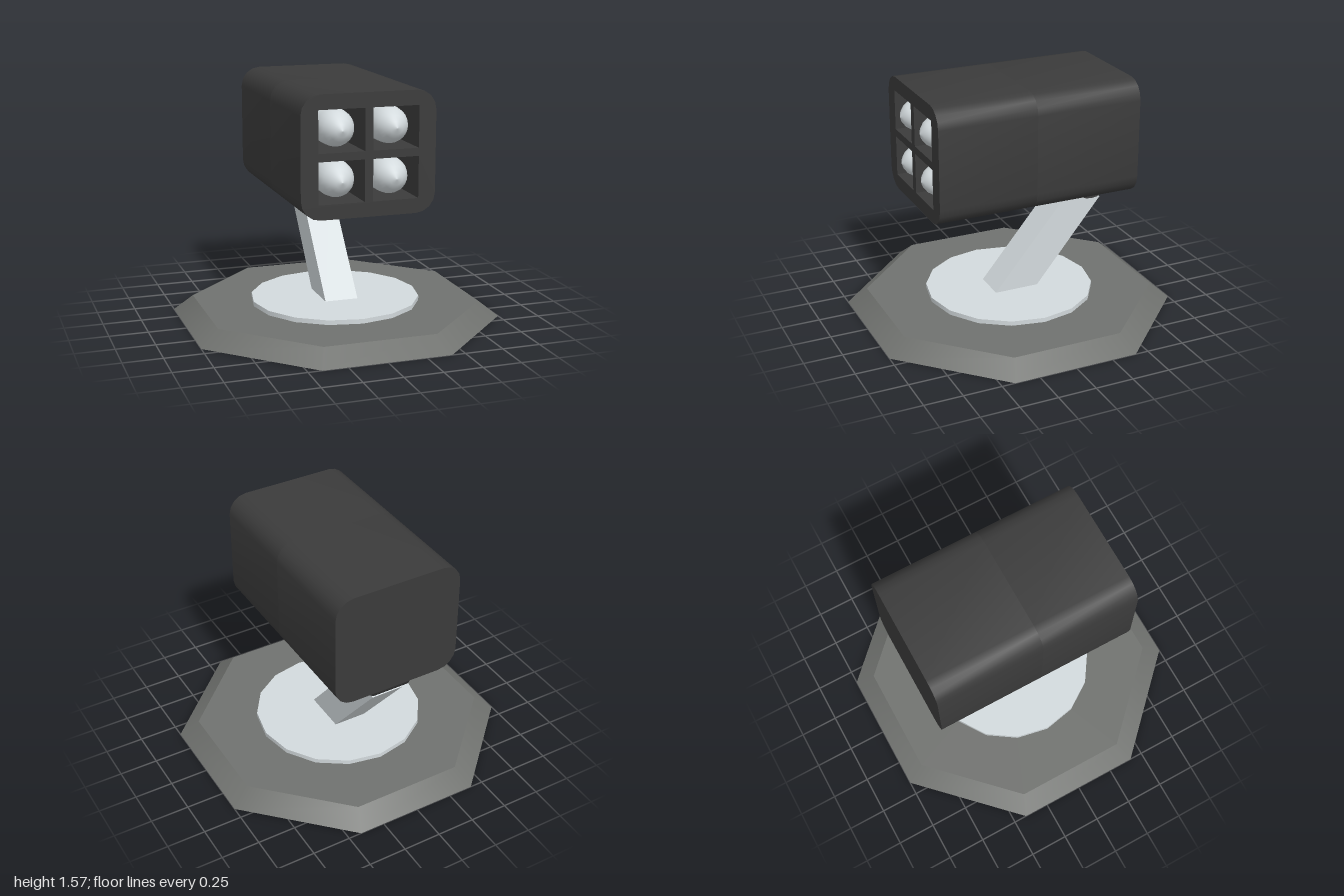
import * as THREE from 'three';
import { toCreasedNormals } from 'three/addons/utils/BufferGeometryUtils.js';

const material = (color, extra = {}) => new THREE.MeshStandardMaterial({ color, ...extra });

function add(parent, name, geometry, mat, x = 0, y = 0, z = 0) {
  const mesh = new THREE.Mesh(geometry, mat);
  mesh.name = name;
  mesh.position.set(x, y, z);
  parent.add(mesh);
  return mesh;
}

// Rounded rectangle outline with a few segments per corner
function roundedRect(w, h, r) {
  const x = w / 2, y = h / 2, s = new THREE.Shape();
  s.absarc(x - r, y - r, r, 0, Math.PI / 2);
  s.absarc(-x + r, y - r, r, Math.PI / 2, Math.PI);
  s.absarc(-x + r, -y + r, r, Math.PI, Math.PI * 1.5);
  s.absarc(x - r, -y + r, r, Math.PI * 1.5, Math.PI * 2);
  s.closePath();
  return s;
}

function extrude(shape, depth) {
  const g = new THREE.ExtrudeGeometry(shape, { depth, bevelEnabled: false, curveSegments: 2 });
  return toCreasedNormals(g, 0.6);
}

export function createModel() {
  const model = new THREE.Group();
  model.name = 'launcherTurret';
  const stone = material(0x70726f), pale = material(0xd3dadd), dark = material(0x3b3b3b);

  // Octagonal base with sloped rim, and the turntable on it
  const toCorner = 1 / Math.cos(Math.PI / 8);
  const base = new THREE.CylinderGeometry(0.88 * toCorner, toCorner, 0.1, 8);
  base.rotateY(Math.PI / 8);
  add(model, 'base', base, stone, 0, 0.05, 0);
  add(model, 'turntable', new THREE.CylinderGeometry(0.555, 0.555, 0.03, 16), pale, 0, 0.115, 0);

  // Arm leaning back: a slanted parallelogram extruded across x
  const side = new THREE.Shape([[-0.15, 0.12], [0.15, 0.12], [-0.42, 0.805], [-0.52, 0.805], [-0.615, 0.69]]
    .map(([z, y]) => new THREE.Vector2(-z, y)));
  const arm = new THREE.ExtrudeGeometry(side, { depth: 0.22, bevelEnabled: false });
  arm.translate(0, 0, -0.11);
  arm.rotateY(Math.PI / 2);
  add(model, 'arm', arm, pale);

  // Pivot drum with dished ends
  const drum = [[0, -0.09], [0.06, -0.09], [0.075, -0.117], [0.14, -0.117],
    [0.14, 0.117], [0.075, 0.117], [0.06, 0.09], [0, 0.09]].map(([r, y]) => new THREE.Vector2(r, y));
  const pivot = toCreasedNormals(new THREE.LatheGeometry(drum, 20), 0.9);
  pivot.rotateZ(Math.PI / 2);
  add(model, 'pivot', pivot, dark, 0, 0.83, -0.55);

  // Launcher box: solid rear section and front section with four square tubes
  const launcher = new THREE.Group();
  launcher.name = 'launcher';
  launcher.position.set(0, 1.19, 0);
  model.add(launcher);
  const W = 0.86, H = 0.76, R = 0.125, front = 0.65, mid = 0, back = -0.71;
  add(launcher, 'rearHousing', extrude(roundedRect(W, H, R), mid - back), dark, 0, 0, back);

  const face = roundedRect(W, H, R);
  const cells = [];
  for (const x of [-0.173, 0.173]) for (const y of [-0.156, 0.156]) cells.push([x, y]);
  for (const [x, y] of cells) {
    const a = 0.147, b = 0.131;
    face.holes.push(new THREE.Path([[-a, -b], [-a, b], [a, b], [a, -b]]
      .map(([u, v]) => new THREE.Vector2(x + u, y + v))));
  }
  add(launcher, 'frontHousing', extrude(face, front - mid), dark, 0, 0, mid);

  // Missiles with pointed, rounded noses
  const nose = [[0.117, 0], [0.117, 0.5], [0.112, 0.55], [0.098, 0.59], [0.072, 0.63],
    [0.04, 0.655], [0, 0.67]].map(([r, y]) => new THREE.Vector2(r, y));
  const missile = new THREE.LatheGeometry(nose, 24);
  missile.rotateX(Math.PI / 2);
  for (const [x, y] of cells) add(launcher, 'missile', missile, pale, x, y, 0);

  return model;
}
